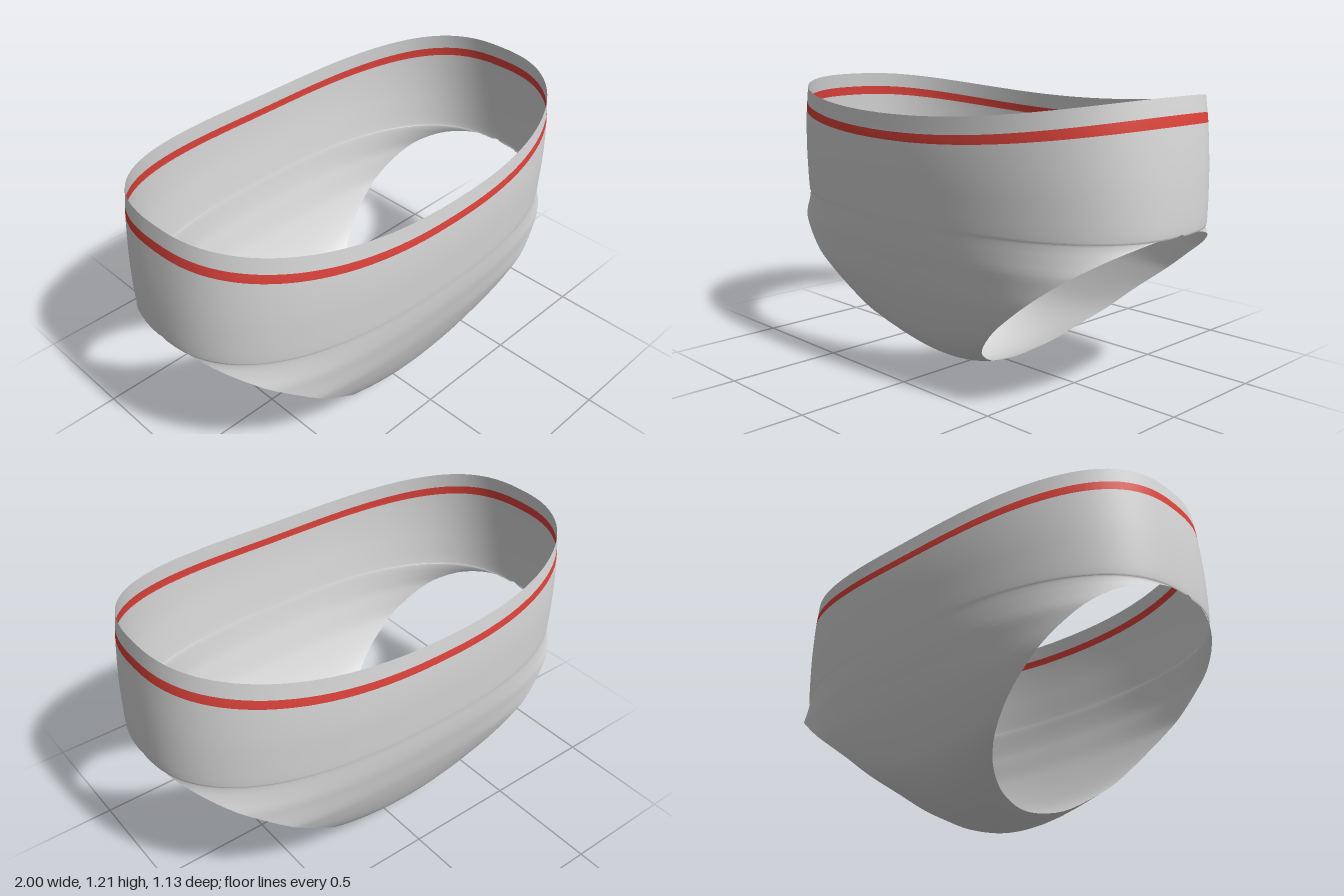
import * as THREE from 'three';
import { mergeVertices } from 'three/addons/utils/BufferGeometryUtils.js';

// Rows from the front waist down to the crotch:
// centre y, centre z, side edge x, side edge y, side edge z
const ROWS = [
  [1.12, 0.56, 0.965, 1.21, 0],
  [1.052, 0.563, 0.975, 1.145, 0],
  [1.018, 0.565, 0.98, 1.105, 0],
  [0.9, 0.563, 0.994, 0.95, 0],
  [0.8, 0.556, 1, 0.82, 0],
  [0.71, 0.549, 1, 0.71, 0], // top of the leg opening
  [0.695, 0.547, 0.99, 0.704, 0.1],
  [0.68, 0.545, 0.965, 0.685, 0.2],
  [0.64, 0.541, 0.915, 0.65, 0.3],
  [0.58, 0.533, 0.83, 0.59, 0.39],
  [0.52, 0.52, 0.745, 0.53, 0.43],
  [0.44, 0.502, 0.64, 0.45, 0.455],
  [0.38, 0.483, 0.575, 0.4, 0.452],
  [0.28, 0.445, 0.46, 0.31, 0.43],
  [0.18, 0.395, 0.35, 0.21, 0.38],
  [0.1, 0.315, 0.265, 0.135, 0.3],
  [0.04, 0.205, 0.21, 0.075, 0.2],
  [0.012, 0.1, 0.18, 0.047, 0.1],
  [0.002, 0, 0.17, 0.036, 0],
];
const SUB = 3;     // steps between rows
const HALF = 26;   // columns on each side of the centre
const POWER = 2.5; // squareness of the rounded cross-section

// One row: a part of a superellipse, rising towards its side edges
function rowPoints(c, e) {
  const depth = Math.abs(c.z);
  const side = Math.sign(c.z);
  const edgeZ = Math.max(0, e.z * side);
  const ratio = depth < 1e-6 ? 0.98 : Math.min(edgeZ / depth, 0.98);
  const part = Math.pow(1 - Math.pow(ratio, POWER), 1 / POWER);
  const end = Math.asin(Math.min(1, Math.pow(part, POWER / 2)));
  const points = [];
  for (let j = -HALF; j <= HALF; j++) {
    const a = (end * Math.abs(j)) / HALF;
    const f = Math.pow(Math.sin(a), 2 / POWER) / part;
    const z = side * depth * Math.pow(Math.max(0, Math.cos(a)), 2 / POWER);
    points.push(Math.sign(j) * f * e.x, c.y + (e.y - c.y) * f * f, Math.abs(z) < 1e-5 ? 0 : z);
  }
  return points;
}

export function createModel() {
  const fabric = new THREE.MeshStandardMaterial({ color: 0xd9d9d9, side: THREE.DoubleSide });
  fabric.name = 'light grey fabric';
  const red = new THREE.MeshStandardMaterial({ color: 0xe0443c, side: THREE.DoubleSide });
  red.name = 'red trim';

  // Mirror the rows to run front to back under the crotch
  const back = ROWS.slice(0, -1).reverse().map(([a, b, c, d, e]) => [a, -b, c, d, -e]);
  const keys = [...ROWS, ...back];
  const centre = new THREE.CatmullRomCurve3(keys.map((k) => new THREE.Vector3(0, k[0], k[1])));
  const edge = new THREE.CatmullRomCurve3(keys.map((k) => new THREE.Vector3(k[2], k[3], k[4])));

  const spans = keys.length - 1;
  const steps = spans * SUB;
  const positions = [];
  for (let i = 0; i <= steps; i++) {
    positions.push(...rowPoints(centre.getPoint(i / steps), edge.getPoint(i / steps)));
  }

  // Sort the faces into waistband, stripe and body
  const cols = HALF * 2 + 1;
  const faces = [[], [], []];
  for (let i = 0; i < steps; i++) {
    const span = Math.floor(i / SUB);
    const target = faces[Math.min(span, spans - 1 - span, 2)];
    for (let j = 0; j < cols - 1; j++) {
      const a = i * cols + j;
      const c = a + cols;
      target.push(a, c, a + 1, a + 1, c, c + 1);
    }
  }

  // Weld the side seams so the shading runs smoothly around
  let shell = new THREE.BufferGeometry();
  shell.setAttribute('position', new THREE.Float32BufferAttribute(positions, 3));
  shell.setIndex(faces.flat());
  shell = mergeVertices(shell, 1e-4);
  shell.computeVertexNormals();

  const group = new THREE.Group();
  group.name = 'briefs';
  const parts = [['waistband', fabric], ['waistStripe', red], ['body', fabric]];
  let start = 0;
  parts.forEach(([name, material], k) => {
    const geometry = new THREE.BufferGeometry();
    geometry.setAttribute('position', shell.getAttribute('position'));
    geometry.setAttribute('normal', shell.getAttribute('normal'));
    geometry.setIndex(Array.from(shell.index.array.slice(start, start + faces[k].length)));
    start += faces[k].length;
    const mesh = new THREE.Mesh(geometry, material);
    mesh.name = name;
    group.add(mesh);
  });
  return group;
}
